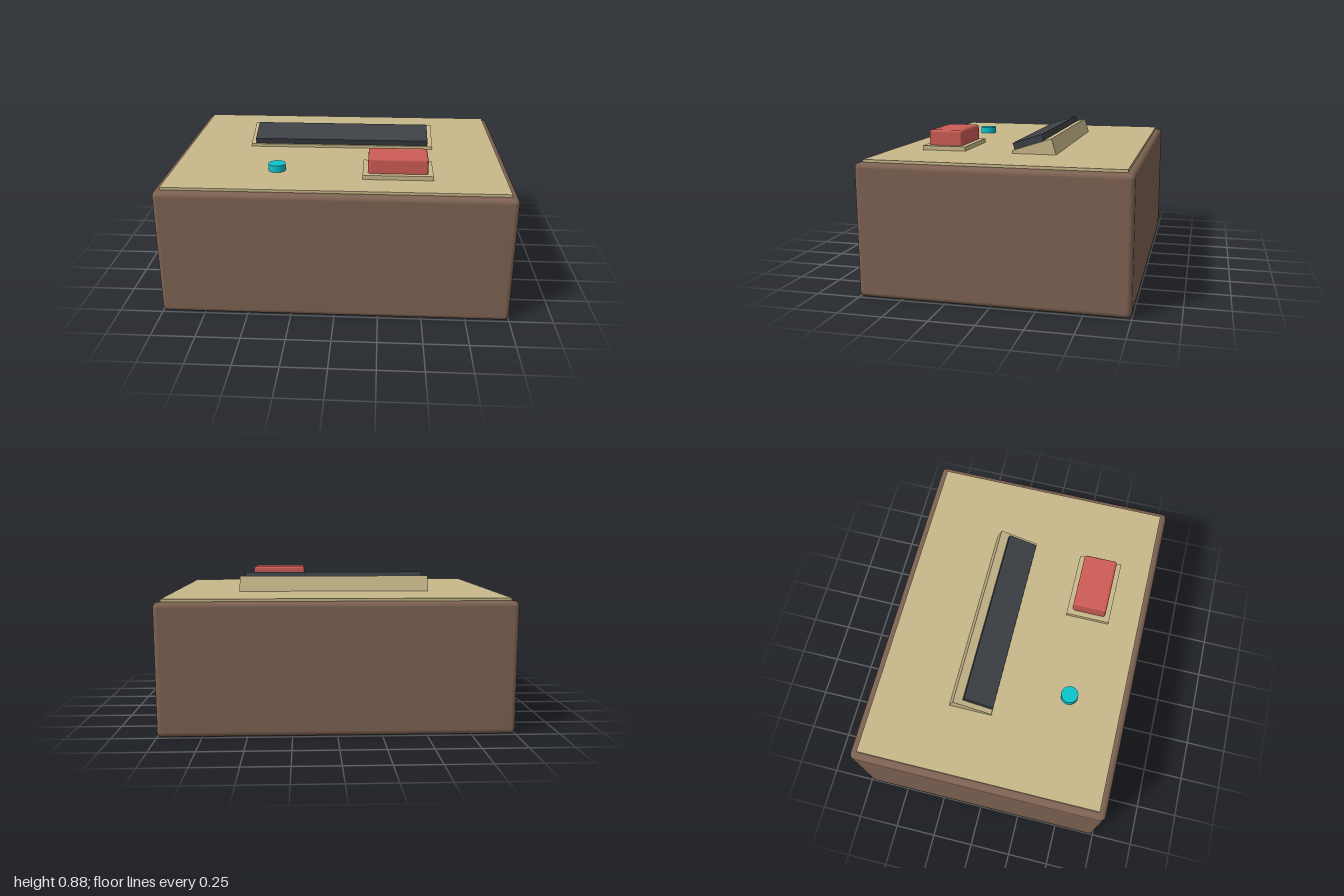
import * as THREE from 'three';
import { RoundedBoxGeometry } from 'three/addons/geometries/RoundedBoxGeometry.js';

const material = (name, color) => {
  const m = new THREE.MeshStandardMaterial({ color });
  m.name = name;
  return m;
};

export function createModel() {
  const brown = material('brown case', 0x7d6252);
  const tan = material('tan panel', 0xc8b88a);
  const dark = material('dark screen', 0x3d4147);
  const red = material('red button', 0xcd5c55);
  const cyan = material('cyan lamp', 0x0cc3cc);

  const group = new THREE.Group();
  const add = (name, geometry, mat, x = 0, y = 0, z = 0) => {
    const mesh = new THREE.Mesh(geometry, mat);
    mesh.name = name;
    mesh.position.set(x, y, z);
    group.add(mesh);
  };

  // Extrudes a side profile of [z, y] points along x, centred on x = 0
  const sideProfile = (points, width) => {
    const shape = new THREE.Shape(points.map(([z, y]) => new THREE.Vector2(z, y)));
    return new THREE.ExtrudeGeometry(shape, { depth: width, bevelEnabled: false })
      .translate(0, 0, -width / 2)
      .rotateY(-Math.PI / 2);
  };

  // Case and top panel
  add('case', new RoundedBoxGeometry(2, 0.75, 1.5, 3, 0.03), brown, 0, 0.375, 0);
  add('topPanel', new THREE.BoxGeometry(1.92, 0.025, 1.42), tan, 0, 0.7525, 0);

  // Sloped display housing with a tilted screen resting on it
  add('displayHousing',
    sideProfile([[-0.015, 0.76], [-0.015, 0.782], [-0.24, 0.855], [-0.27, 0.76]], 1.14), tan);
  add('displayScreen',
    sideProfile([[-0.021, 0.783], [-0.01, 0.82], [-0.18, 0.875], [-0.191, 0.838]], 1.08), dark);

  // Push button on its plate
  add('buttonPlate', new THREE.BoxGeometry(0.4, 0.03, 0.26), tan, 0.35, 0.775, 0.4);
  add('button', new RoundedBoxGeometry(0.34, 0.1, 0.2, 2, 0.015), red, 0.35, 0.83, 0.4);

  // Indicator lamp
  add('indicatorLamp', new THREE.CylinderGeometry(0.05, 0.05, 0.045, 24), cyan, -0.35, 0.783, 0.4);

  return group;
}
